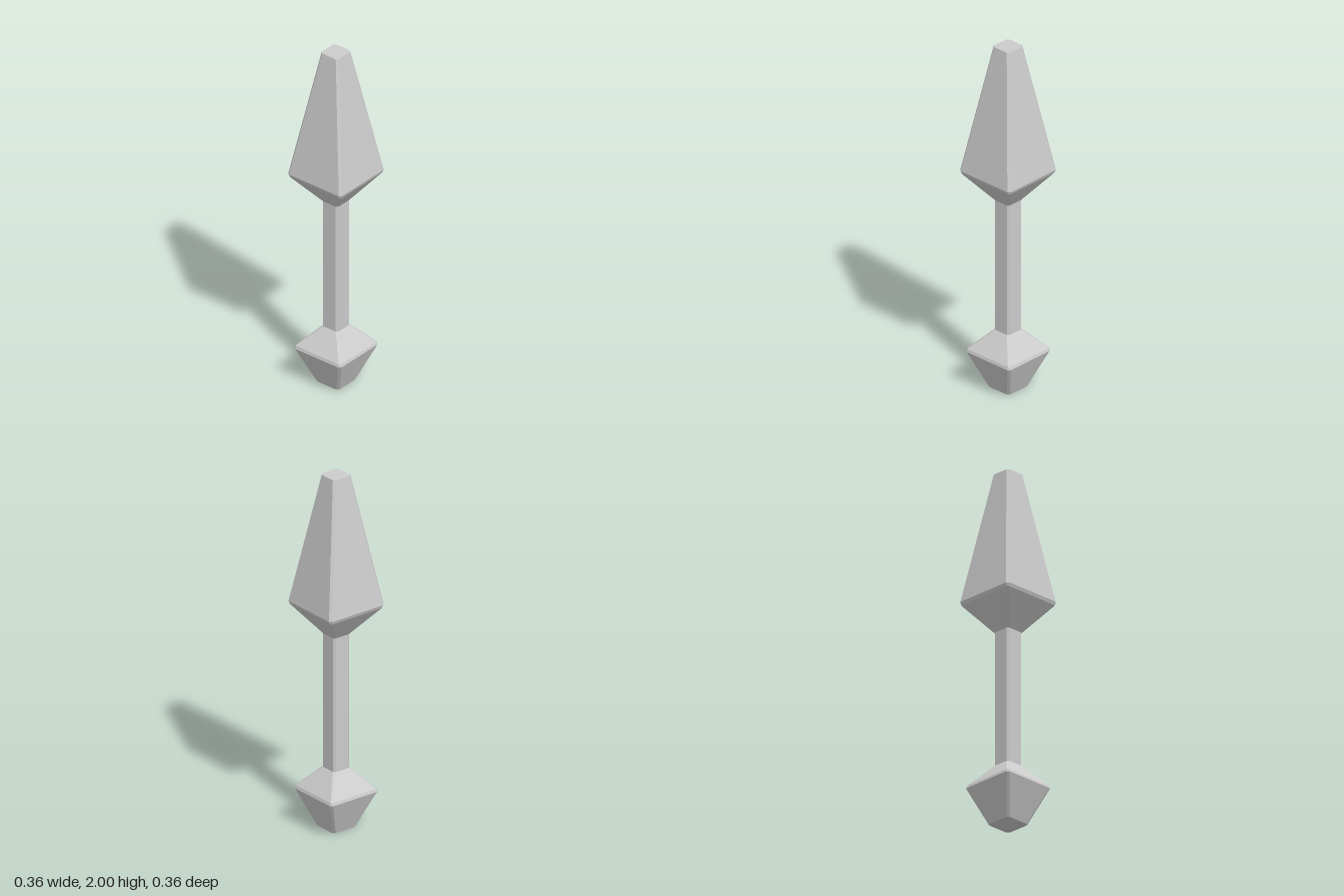
import * as THREE from 'three';

const material = new THREE.MeshStandardMaterial({ color: 0xcccccc, flatShading: true });

// Square cross-section with clipped corners, running round the y axis
function section([y, w, c]) {
  const i = w - c;
  return [[w, -i], [w, i], [i, w], [-i, w], [-w, i], [-w, -i], [-i, -w], [i, -w]]
    .map(([x, z]) => [x, y, z]);
}

// Skin a stack of [height, half width, corner cut] sections, with optional end caps
function loft(name, levels, { bottom = false, top = false } = {}) {
  const rings = levels.map(section);
  const points = [];
  const tri = (a, b, c) => points.push(...a, ...b, ...c);
  for (let k = 0; k < rings.length - 1; k++) {
    const lo = rings[k], hi = rings[k + 1];
    for (let i = 0; i < 8; i++) {
      const j = (i + 1) % 8;
      tri(lo[i], hi[i], hi[j]);
      tri(lo[i], hi[j], lo[j]);
    }
  }
  const first = rings[0], last = rings[rings.length - 1];
  for (let i = 1; i < 7; i++) {
    if (bottom) tri(first[0], first[i], first[i + 1]);
    if (top) tri(last[0], last[i + 1], last[i]);
  }
  const geometry = new THREE.BufferGeometry();
  geometry.setAttribute('position', new THREE.Float32BufferAttribute(points, 3));
  geometry.computeVertexNormals();
  const mesh = new THREE.Mesh(geometry, material);
  mesh.name = name;
  return mesh;
}

export function createModel() {
  const group = new THREE.Group();
  group.name = 'mace';

  // Faceted pommel with a narrow bevel round its widest edge
  const pommel = loft('pommel', [
    [0, 0.075, 0.012],
    [0.206, 0.158, 0.012],
    [0.222, 0.153, 0.008],
    [0.335, 0.053, 0.011],
  ], { bottom: true });

  // Straight handle
  const handle = loft('handle', [
    [0.335, 0.053, 0.011],
    [1.097, 0.053, 0.011],
  ]);

  // Flared head tapering to a blunt top
  const head = loft('head', [
    [1.097, 0.053, 0.011],
    [1.254, 0.174, 0.009],
    [1.272, 0.181, 0.013],
    [2, 0.058, 0.012],
  ], { top: true });

  group.add(pommel, handle, head);
  return group;
}
